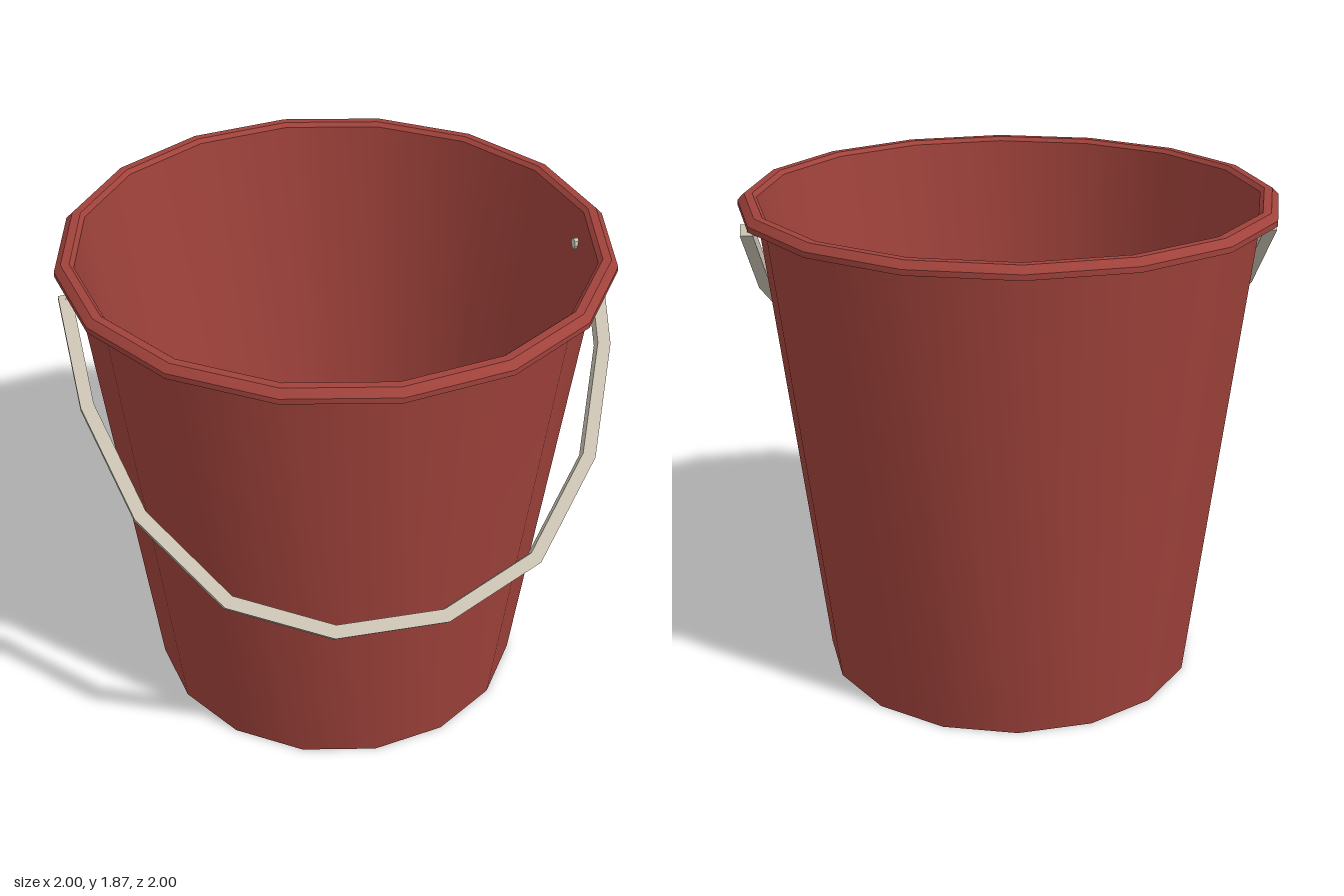
import * as THREE from 'three';
import { toCreasedNormals } from 'three/addons/utils/BufferGeometryUtils.js';

const SIDES = 16;

function makeMaterial(name, color) {
  const m = new THREE.MeshStandardMaterial({ color });
  m.name = name;
  return m;
}

// Outline of a strip of constant width along a 2D path, with mitred corners
function stripShape(path, width) {
  const outer = [], inner = [];
  path.forEach((p, i) => {
    const a = path[Math.max(i - 1, 0)], b = path[Math.min(i + 1, path.length - 1)];
    const normals = [[a, p], [p, b]].filter(([s, e]) => s !== e).map(([s, e]) => {
      const t = e.clone().sub(s).normalize();
      return new THREE.Vector2(t.y, -t.x);
    });
    const n = normals.reduce((s, v) => s.add(v), new THREE.Vector2()).normalize();
    n.multiplyScalar(width / 2 / n.dot(normals[normals.length - 1]));
    outer.push(p.clone().add(n));
    inner.unshift(p.clone().sub(n));
  });
  return new THREE.Shape([...outer, ...inner]);
}

export function createModel() {
  const group = new THREE.Group();
  group.name = 'bucket';
  const red = makeMaterial('red plastic', 0xa0423b);
  const metal = makeMaterial('pale metal', 0xcbc4b3);

  const add = (name, geometry, material) => {
    const mesh = new THREE.Mesh(geometry, material);
    mesh.name = name;
    group.add(mesh);
    return mesh;
  };

  // Shell: base, outer wall, rolled rim, inner wall and floor
  const profile = [
    [0, 0], [0.725, 0], [0.937, 1.825], [1, 1.825], [1, 1.845],
    [0.975, 1.87], [0.945, 1.87], [0.93, 1.855], [0.712, 0.02], [0, 0.02],
  ].map(([r, y]) => new THREE.Vector2(r, y));
  add('bucketShell', toCreasedNormals(new THREE.LatheGeometry(profile, SIDES), 0.5), red);

  // Handle: a square bar bent into a faceted arc, leaning forward 45 degrees
  const pivotY = 1.72, bar = 0.05;
  const half = [[0.972, 0.02], [0.945, -0.382], [0.815, -0.785], [0.555, -1.124], [0.2, -1.28]];
  const path = [
    ...half.map(([x, y]) => new THREE.Vector2(-x, y)),
    ...half.slice().reverse().map(([x, y]) => new THREE.Vector2(x, y)),
  ];
  const handleGeometry = new THREE.ExtrudeGeometry(stripShape(path, bar * 0.95), { depth: bar, bevelEnabled: false });
  handleGeometry.translate(0, 0, -bar / 2).rotateX(-Math.PI / 4);
  add('handle', handleGeometry, metal).position.y = pivotY;

  // Pins joining the handle to the wall
  for (const side of [1, -1]) {
    const pin = new THREE.CylinderGeometry(0.022, 0.022, 0.07, 8).rotateZ(Math.PI / 2);
    add(side > 0 ? 'leftHandlePin' : 'rightHandlePin', toCreasedNormals(pin, 0.5), metal)
      .position.set(side * 0.935, pivotY + 0.01, 0);
  }
  return group;
}
